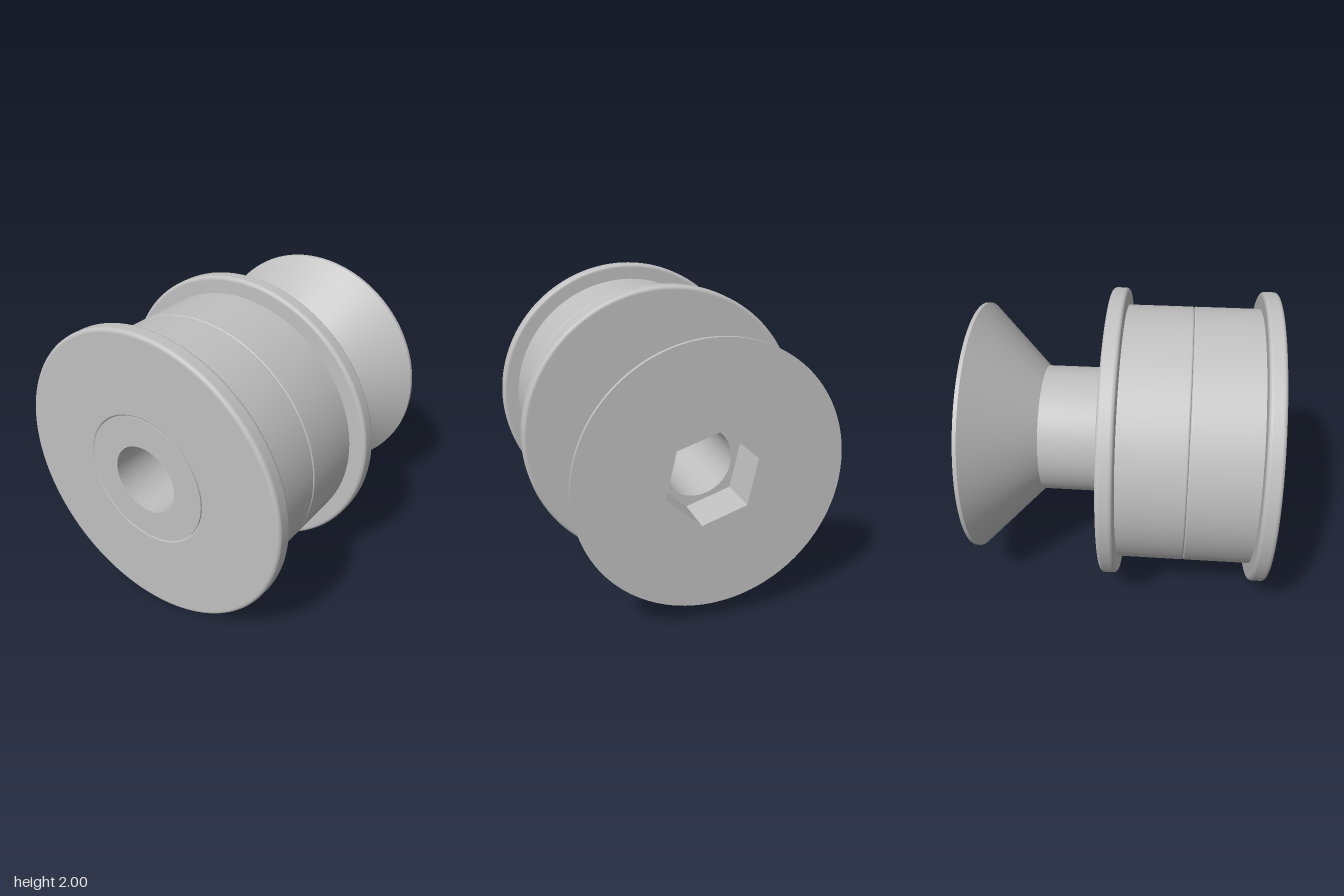
import * as THREE from 'three';
import { toCreasedNormals } from 'three/addons/utils/BufferGeometryUtils.js';

const steel = new THREE.MeshStandardMaterial({ color: 0xc0c0c0 });
steel.name = 'steel grey';

const SEGMENTS = 128;
const BORE = 0.235, SHAFT = 0.44, HEAD = 0.865;
const SOCKET = 0.31, SOCKET_FLOOR = -0.72, SOCKET_TURN = THREE.MathUtils.degToRad(42);

// Profile corners are [radius, z, fillet]; filleted corners become short arcs
// with a support point on each side so the flats keep flat shading.
function profile(corners) {
  const points = [];
  corners.forEach(([r, z, fillet], i) => {
    const p = new THREE.Vector2(r, z);
    if (!fillet) {
      points.push(p);
      return;
    }
    const toward = (c) => new THREE.Vector2(c[0], c[1]).sub(p).normalize();
    const a = toward(corners[(i + corners.length - 1) % corners.length]);
    const b = toward(corners[(i + 1) % corners.length]);
    const centre = p.clone().addScaledVector(a, fillet).addScaledVector(b, fillet);
    points.push(p.clone().addScaledVector(a, fillet + 0.003));
    for (let k = 0; k <= 6; k++) {
      const t = (k / 6) * Math.PI / 2;
      points.push(centre.clone()
        .addScaledVector(b, -fillet * Math.cos(t))
        .addScaledVector(a, -fillet * Math.sin(t)));
    }
    points.push(p.clone().addScaledVector(b, fillet + 0.003));
  });
  return points;
}

// Turns a profile around the z axis; creasing is done enlarged to keep small fillets distinct.
function turned(name, points, segments = SEGMENTS, start = 0) {
  const lathe = new THREE.LatheGeometry(points, segments, start);
  lathe.rotateX(Math.PI / 2).scale(100, 100, 100);
  const geometry = toCreasedNormals(lathe, Math.PI / 6);
  geometry.scale(0.01, 0.01, 0.01);
  const mesh = new THREE.Mesh(geometry, steel);
  mesh.name = name;
  return mesh;
}

function createRoller(name) {
  const points = profile([
    [SHAFT, -0.11, 0.014],
    [1, -0.11, 0.025],
    [1, 0, 0.025],
    [0.885, 0],
    [0.885, 0.445, 0.012],
    [SHAFT, 0.445],
  ]);
  points.push(points[0].clone());
  return turned(name, points);
}

function createScrew() {
  const screw = new THREE.Group();
  screw.name = 'countersunkScrew';

  // Conical head, shaft, bore and socket floor
  screw.add(turned('screwBody', profile([
    [HEAD, -1], [HEAD, -0.975], [SHAFT, -0.555], [SHAFT, 1],
    [BORE, 1], [BORE, SOCKET_FLOOR], [SOCKET + 0.02, SOCKET_FLOOR],
  ])));

  // Inward-facing walls of the hexagonal socket
  screw.add(turned('socketWalls', profile([[SOCKET, SOCKET_FLOOR], [SOCKET, -1]]),
    6, SOCKET_TURN + Math.PI / 2));

  // Flat head face with hexagonal opening
  const disc = new THREE.Shape().absarc(0, 0, HEAD, 0, Math.PI * 2);
  const hexagon = [];
  for (let i = 0; i < 6; i++) {
    const angle = SOCKET_TURN + i * Math.PI / 3;
    hexagon.push(new THREE.Vector2(-SOCKET * Math.cos(angle), SOCKET * Math.sin(angle)));
  }
  disc.holes.push(new THREE.Path(hexagon));
  const face = new THREE.Mesh(new THREE.ShapeGeometry(disc, SEGMENTS / 2), steel);
  face.name = 'headFace';
  face.rotation.y = Math.PI;
  face.position.z = -1;
  screw.add(face);
  return screw;
}

export function createModel() {
  const model = new THREE.Group();
  model.name = 'flangedRoller';

  // Two identical flanged halves meeting at a fine groove
  const backRoller = createRoller('backRollerHalf');
  const frontRoller = createRoller('frontRollerHalf');
  frontRoller.rotation.y = Math.PI;
  frontRoller.position.z = 0.89;

  model.add(backRoller, frontRoller, createScrew());
  model.position.y = 1;
  return model;
}
